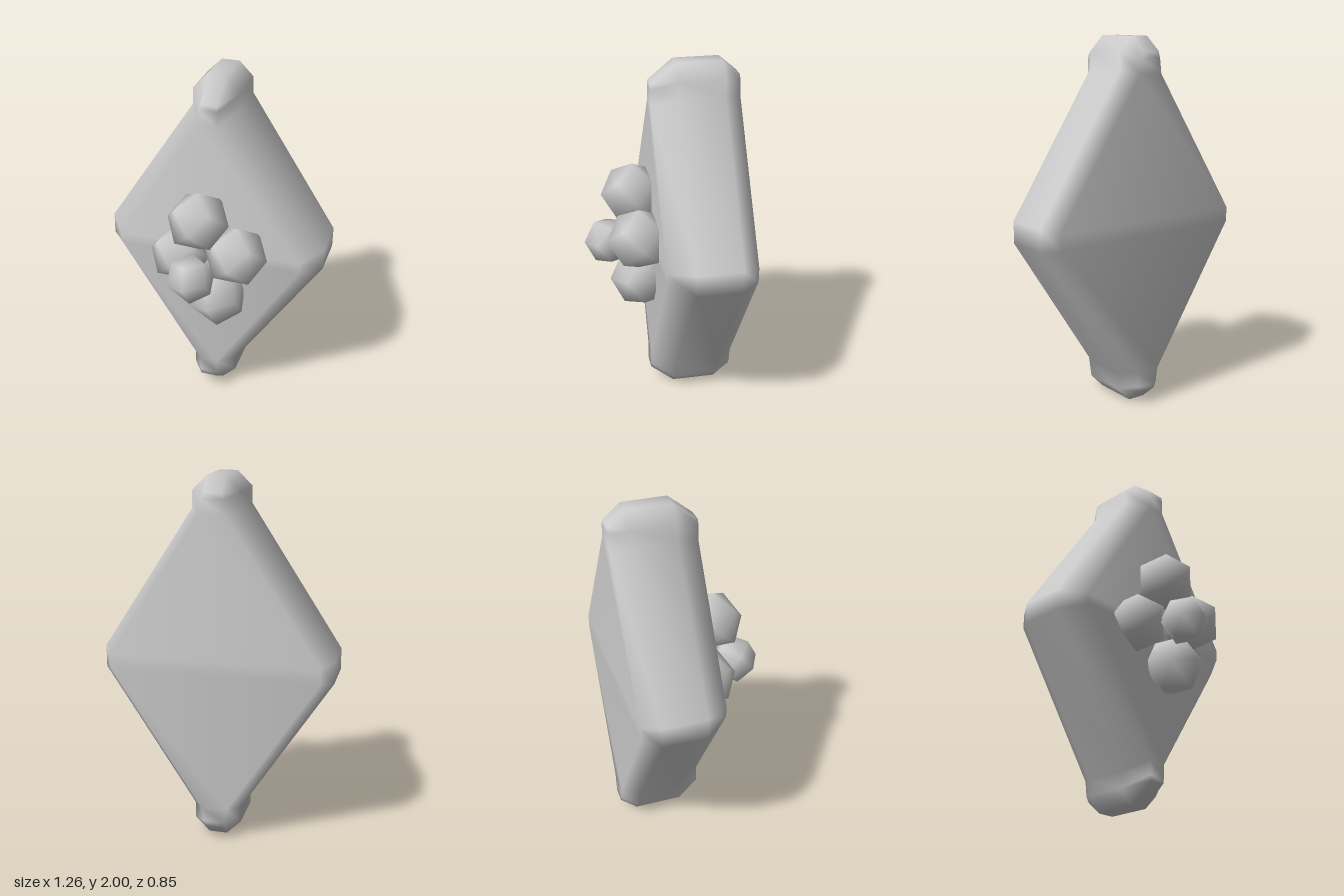
import * as THREE from 'three';
import { ConvexGeometry } from 'three/addons/geometries/ConvexGeometry.js';

const material = new THREE.MeshStandardMaterial({ color: 0xcccccc });

// Upper-right quarter of the diamond outline at each depth, tip to side corner
const sections = [
  { z: -0.425, quarter: [[0.045, 1.92], [0.06, 1.89], [0.07, 1.81], [0.57, 1.04]] },
  { z: -0.33, quarter: [[0.05, 2], [0.13, 1.92], [0.13, 1.83], [0.63, 1.06]] },
  { z: -0.08, quarter: [[0.05, 2], [0.13, 1.92], [0.13, 1.83], [0.63, 1.06]] },
  { z: 0.055, quarter: [[0.045, 1.89], [0.05, 1.86], [0.05, 1.78], [0.525, 1.03]] },
];

// Bevelled diamond lofted through the mirrored sections and capped at both ends
function plateGeometry() {
  const positions = [], index = [], n = 16;
  const quad = (a, b, c, d) => index.push(a, b, c, a, c, d);
  for (const { z, quarter } of sections) {
    const lower = quarter.map(([x, y]) => [x, 2 - y]);
    const right = [...lower, ...[...quarter].reverse()];
    const left = [...right].reverse().map(([x, y]) => [-x, y]);
    for (const [x, y] of [...right, ...left]) positions.push(x, y, z);
  }
  for (let k = 0; k < sections.length - 1; k++) {
    for (let i = 0; i < n; i++) {
      const j = (i + 1) % n;
      quad(k * n + i, k * n + j, (k + 1) * n + j, (k + 1) * n + i);
    }
  }
  const front = (sections.length - 1) * n;
  for (let i = 0; i < 7; i++) {
    quad(front + i, front + i + 1, front + 14 - i, front + 15 - i);
    quad(15 - i, 14 - i, i + 1, i);
  }
  const geometry = new THREE.BufferGeometry();
  geometry.setAttribute('position', new THREE.Float32BufferAttribute(positions, 3));
  geometry.setIndex(index);
  geometry.computeVertexNormals();
  return geometry;
}

// Unit bead: six axis points and eight cube corners on a sphere, shaded smooth
function beadGeometry() {
  const points = [], c = 1 / Math.sqrt(3);
  for (const s of [-1, 1]) {
    points.push(new THREE.Vector3(s, 0, 0), new THREE.Vector3(0, s, 0), new THREE.Vector3(0, 0, s));
    for (const t of [-1, 1]) for (const u of [-1, 1]) points.push(new THREE.Vector3(s * c, t * c, u * c));
  }
  const geometry = new ConvexGeometry(points);
  geometry.setAttribute('normal', geometry.getAttribute('position').clone());
  return geometry;
}

export function createModel() {
  const group = new THREE.Group();
  const add = (geometry, name) => {
    const mesh = new THREE.Mesh(geometry, material);
    mesh.name = name;
    group.add(mesh);
    return mesh;
  };

  add(plateGeometry(), 'diamondPlate');

  // Bead cluster: name, centre, radius, roll
  const bead = beadGeometry();
  const beads = [
    ['topBead', [-0.028, 1.25, 0.147], 0.175, 0],
    ['leftBead', [0.19, 1.07, 0.145], 0.175, 0],
    ['rightBead', [-0.165, 0.977, 0.065], 0.175, 0],
    ['bottomBead', [0.07, 0.77, 0.117], 0.175, -0.54],
    ['centreBead', [-0.025, 0.965, 0.284], 0.138, -0.61],
  ];
  for (const [name, centre, radius, roll] of beads) {
    const mesh = add(bead, name);
    mesh.position.set(...centre);
    mesh.scale.setScalar(radius);
    mesh.rotation.z = roll;
  }
  return group;
}
